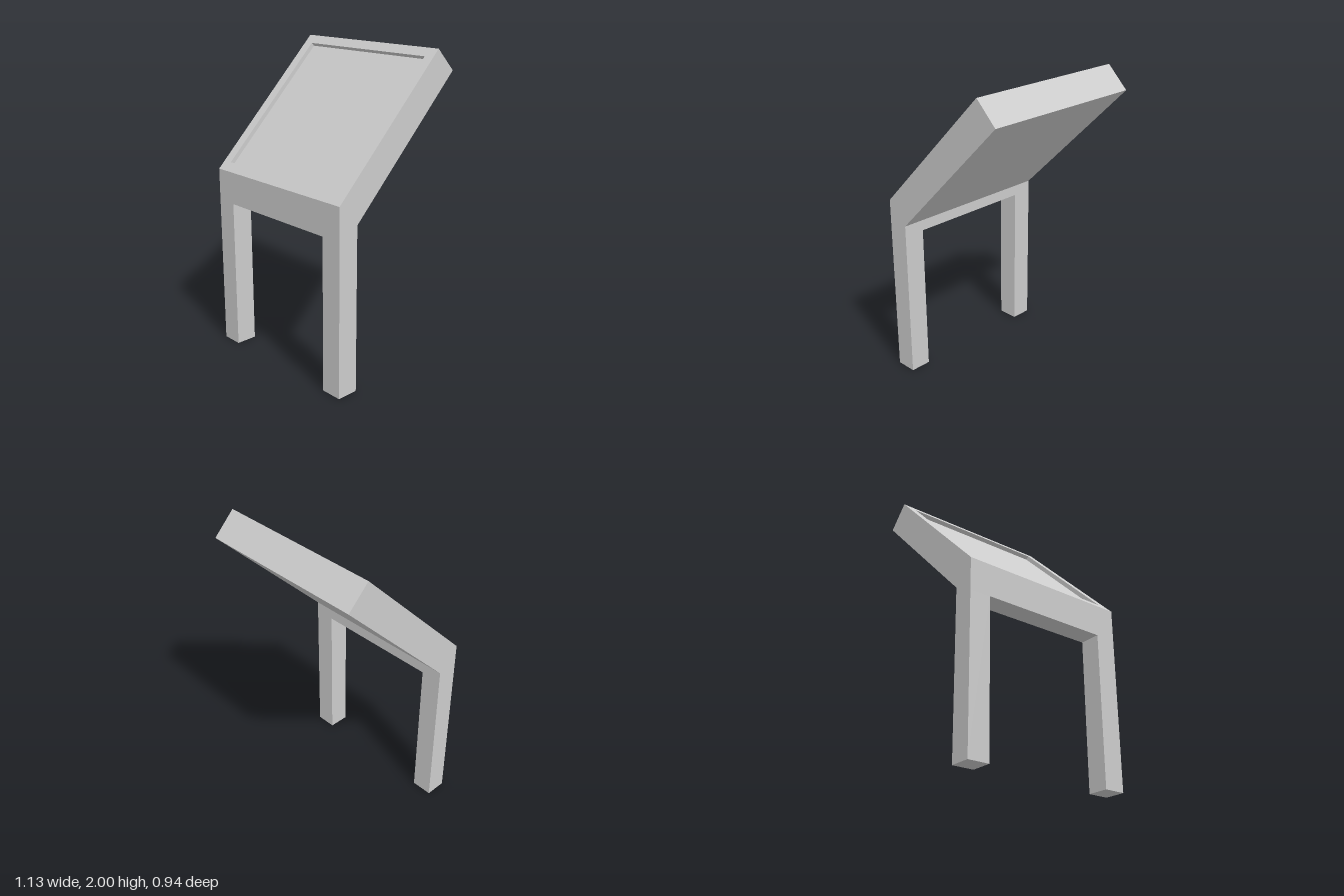
import * as THREE from 'three';

const HALF_W = 0.565;    // half width of the stand
const LEG = 0.14;        // leg thickness
const LEG_H = 0.99;      // leg height up to the crossbar
const FRONT = 0.47;      // front plane
const BEND = 1.2;        // height of the front bend
const RISE = 0.8;        // rise (and run) of the 45 degree panel
const DROP = 0.02;       // y and z offset of the recess floor
const MARGIN = 0.066;    // rim width

export function createModel() {
  const model = new THREE.Group();
  const material = new THREE.MeshStandardMaterial({ color: 0xcccccc });
  const add = (name, geometry) => {
    const mesh = new THREE.Mesh(geometry, material);
    mesh.name = name;
    model.add(mesh);
    return mesh;
  };

  // Two square legs
  for (const side of [-1, 1]) {
    add(side > 0 ? 'leftLeg' : 'rightLeg', new THREE.BoxGeometry(LEG, LEG_H, LEG))
      .position.set(side * (HALF_W - LEG / 2), LEG_H / 2, FRONT - LEG / 2);
  }

  // Crossbar and sloping panel: one side profile [z, y] extruded across the width
  const profile = [
    [FRONT - LEG, LEG_H], [FRONT, LEG_H], [FRONT, BEND],
    [FRONT - DROP, BEND - DROP],
    [FRONT - RISE - DROP, BEND + RISE - DROP],
    [FRONT - RISE - LEG, BEND + RISE - LEG],
    [FRONT - LEG, BEND - LEG],
  ];
  const side = new THREE.Shape(profile.map(([z, y]) => new THREE.Vector2(-z, y)));
  const body = new THREE.ExtrudeGeometry(side, { depth: 2 * HALF_W, bevelEnabled: false });
  body.rotateY(Math.PI / 2).translate(-HALF_W, 0, 0);
  add('crossbarAndPanel', body);

  // Raised rim around the recessed panel face
  const rectangle = (Type, inset) => {
    const x = HALF_W - inset, top = RISE * Math.SQRT2 - inset;
    return new Type([[-x, inset], [x, inset], [x, top], [-x, top]]
      .map(([a, b]) => new THREE.Vector2(a, b)));
  };
  const rimShape = rectangle(THREE.Shape, 0);
  rimShape.holes.push(rectangle(THREE.Path, MARGIN));
  const rim = add('panelRim', new THREE.ExtrudeGeometry(rimShape, {
    depth: DROP * Math.SQRT2, bevelEnabled: false,
  }));
  rim.rotation.x = -Math.PI / 4;
  rim.position.set(0, BEND - DROP, FRONT - DROP);

  return model;
}
